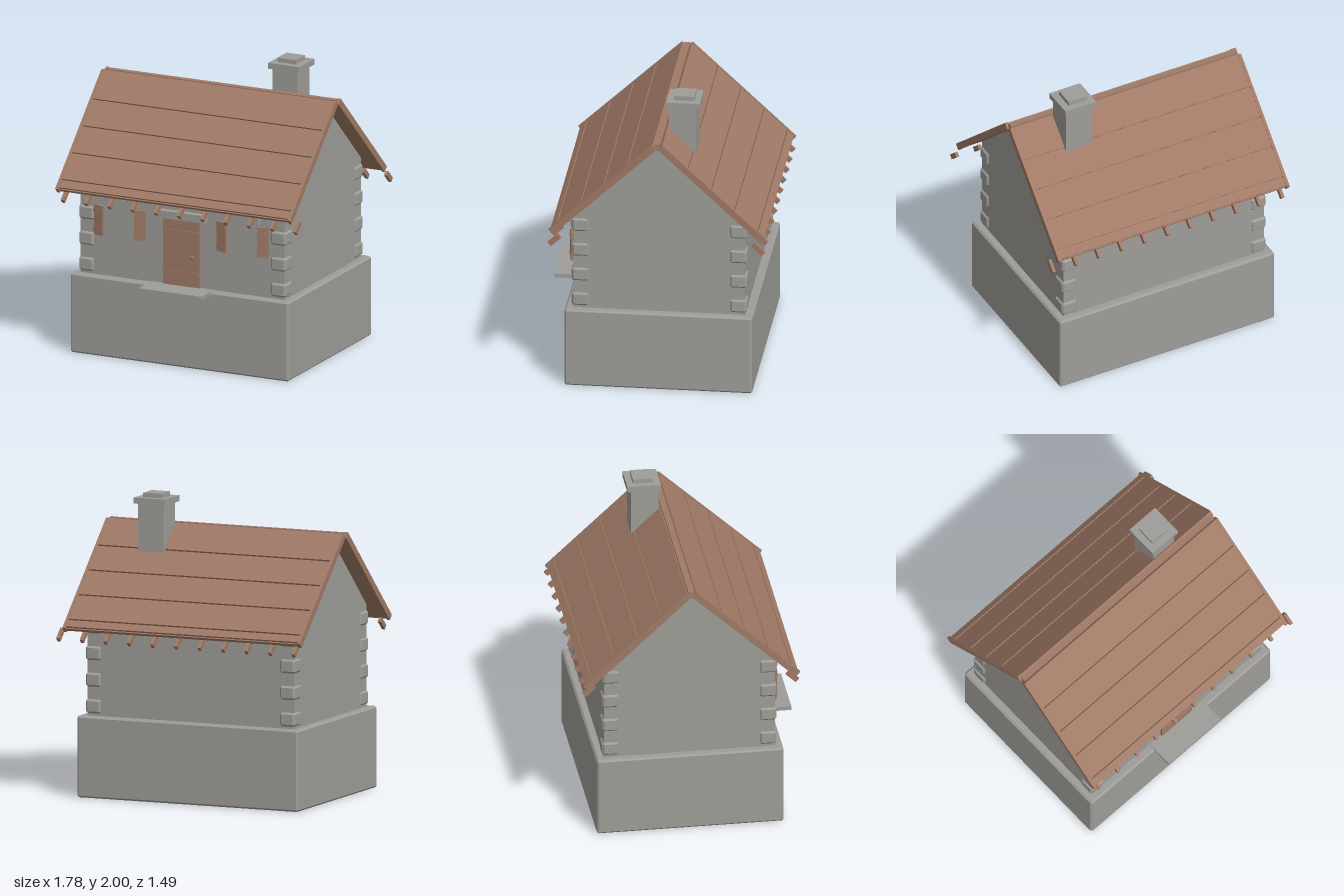
import * as THREE from 'three';
import { ConvexGeometry } from 'three/addons/geometries/ConvexGeometry.js';

const stone = new THREE.MeshStandardMaterial({ color: 0x9e9d98 });
stone.name = 'grey stone';
const wood = new THREE.MeshStandardMaterial({ color: 0xa07a66 });
wood.name = 'brown wood';

const CX = -0.025, CZ = -0.015; // centre of the house
const PITCH = 0.752, APEX = 1.823; // roof angle and height where the slopes would meet

function add(parent, name, geometry, material) {
  const mesh = new THREE.Mesh(geometry, material);
  mesh.name = name;
  parent.add(mesh);
  return mesh;
}

// Box given by its limits on each axis
function box(parent, name, material, [x0, x1], [y0, y1], [z0, z1]) {
  const mesh = add(parent, name, new THREE.BoxGeometry(x1 - x0, y1 - y0, z1 - z0), material);
  mesh.position.set((x0 + x1) / 2, (y0 + y1) / 2, (z0 + z1) / 2);
  return mesh;
}

// Box with all edges cut by c
function chamferBox(w, h, d, c) {
  const points = [];
  for (const x of [-1, 1]) for (const y of [-1, 1]) for (const z of [-1, 1]) {
    const a = x * w / 2, b = y * h / 2, e = z * d / 2;
    points.push(new THREE.Vector3(a, b - y * c, e - z * c),
      new THREE.Vector3(a - x * c, b, e - z * c),
      new THREE.Vector3(a - x * c, b - y * c, e));
  }
  return new ConvexGeometry(points);
}

function buildWalls(house) {
  add(house, 'foundation', chamferBox(1.61, 0.546, 1.25, 0.012), stone).position.set(CX, 0.273, CZ);

  // Gabled body, drawn as a side profile and extruded along x
  const profile = new THREE.Shape();
  profile.moveTo(-0.572, 0.54);
  profile.lineTo(0.572, 0.54);
  profile.lineTo(0.572, 1.226);
  profile.lineTo(0, 1.761);
  profile.lineTo(-0.572, 1.226);
  const body = new THREE.ExtrudeGeometry(profile, { depth: 1.505, bevelEnabled: false });
  body.translate(0, 0, -0.7525);
  body.rotateY(Math.PI / 2);
  add(house, 'walls', body, stone).position.set(CX, 0, CZ);

  // Corner stones
  const block = chamferBox(0.112, 0.096, 0.115, 0.014);
  for (const sx of [-1, 1]) for (const sz of [-1, 1]) for (let i = 0; i < 4; i++) {
    add(house, 'cornerStone', block, stone)
      .position.set(CX + sx * 0.708, 0.608 + i * 0.178, CZ + sz * 0.527);
  }
}

function buildRoof(house) {
  const roof = new THREE.Group();
  roof.name = 'roof';
  roof.position.set(CX, 0, CZ);
  house.add(roof);
  const rows = [0.048, 0.287, 0.499, 0.711, 0.922, 0.988];
  for (const side of [-1, 1]) {
    const slope = new THREE.Group();
    slope.name = side > 0 ? 'frontSlope' : 'backSlope';
    slope.position.y = APEX;
    slope.rotation.x = side * PITCH;
    roof.add(slope);
    const span = (a, b) => (side > 0 ? [a, b] : [-b, -a]);

    // Boarding under the planks, then planks with narrow gaps
    box(slope, 'roofBoarding', wood, [-0.85, 0.85], [-0.04, -0.018], span(0.048, 0.985));
    for (let i = 0; i < rows.length - 1; i++) {
      box(slope, 'roofPlank', wood, [-0.85, 0.85], [-0.03, -0.004], span(rows[i], rows[i + 1] - 0.011));
    }
    // Boards along the gable ends
    for (const sx of [-1, 1]) {
      box(slope, 'bargeBoard', wood, [sx * 0.856 - 0.01, sx * 0.856 + 0.01], [-0.045, 0], span(0.048, 0.993));
    }
    // Rafter ends below the eaves
    for (let i = 0; i < 11; i++) {
      const rafter = add(roof, 'rafterEnd', new THREE.BoxGeometry(0.022, 0.034, 0.09), wood);
      rafter.position.set(-0.84 + i * 0.1715 - CX, 1.09, side * 0.68);
      rafter.rotation.x = side * PITCH;
    }
  }
  box(roof, 'ridgeBeam', wood, [-0.85, 0.85], [1.745, 1.79], [-0.02, 0.02]);
}

function buildChimney(house) {
  box(house, 'chimneyStack', stone, [0.335, 0.52], [1.5, 1.93], [-0.238, -0.055]);
  box(house, 'chimneyCap', stone, [0.31, 0.54], [1.93, 1.97], [-0.265, -0.04]);
  box(house, 'chimneyTop', stone, [0.356, 0.492], [1.97, 2], [-0.222, -0.088]);
}

function buildDoor(house) {
  box(house, 'door', wood, [-0.162, 0.106], [0.548, 1.012], [0.54, 0.572]);
  for (const y of [0.64, 0.92]) {
    box(house, 'doorBatten', wood, [-0.162, 0.106], [y - 0.012, y + 0.012], [0.57, 0.578]);
  }
  add(house, 'doorKnob', new THREE.SphereGeometry(0.011, 12, 8), wood).position.set(0.056, 0.758, 0.585);
  box(house, 'doorLintel', stone, [-0.215, 0.157], [1.008, 1.06], [0.54, 0.602]);
  box(house, 'doorStep', stone, [-0.26, 0.205], [0.522, 0.549], [0.55, 0.746]);
}

function buildWindows(house) {
  for (const x of [-0.48, 0.427]) {
    box(house, 'windowLintel', stone, [x - 0.127, x + 0.127], [1.047, 1.096], [0.54, 0.602]);
    for (const side of [-1, 1]) {
      // Shutter turned slightly away from the wall, with two hinge straps
      const shutter = new THREE.Group();
      shutter.name = side > 0 ? 'leftShutter' : 'rightShutter';
      shutter.position.set(x + side * 0.15, 0.93, 0.583);
      shutter.rotation.y = side * 0.22;
      house.add(shutter);
      box(shutter, 'shutterPanel', wood, [-0.037, 0.037], [-0.102, 0.102], [-0.009, 0.009]);
      for (const y of [-0.065, 0.065]) {
        box(shutter, 'shutterStrap', wood, [-0.039, 0.039], [y - 0.009, y + 0.009], [0.007, 0.013]);
      }
    }
  }
}

export function createModel() {
  const house = new THREE.Group();
  house.name = 'stoneCottage';
  buildWalls(house);
  buildRoof(house);
  buildChimney(house);
  buildDoor(house);
  buildWindows(house);
  return house;
}
